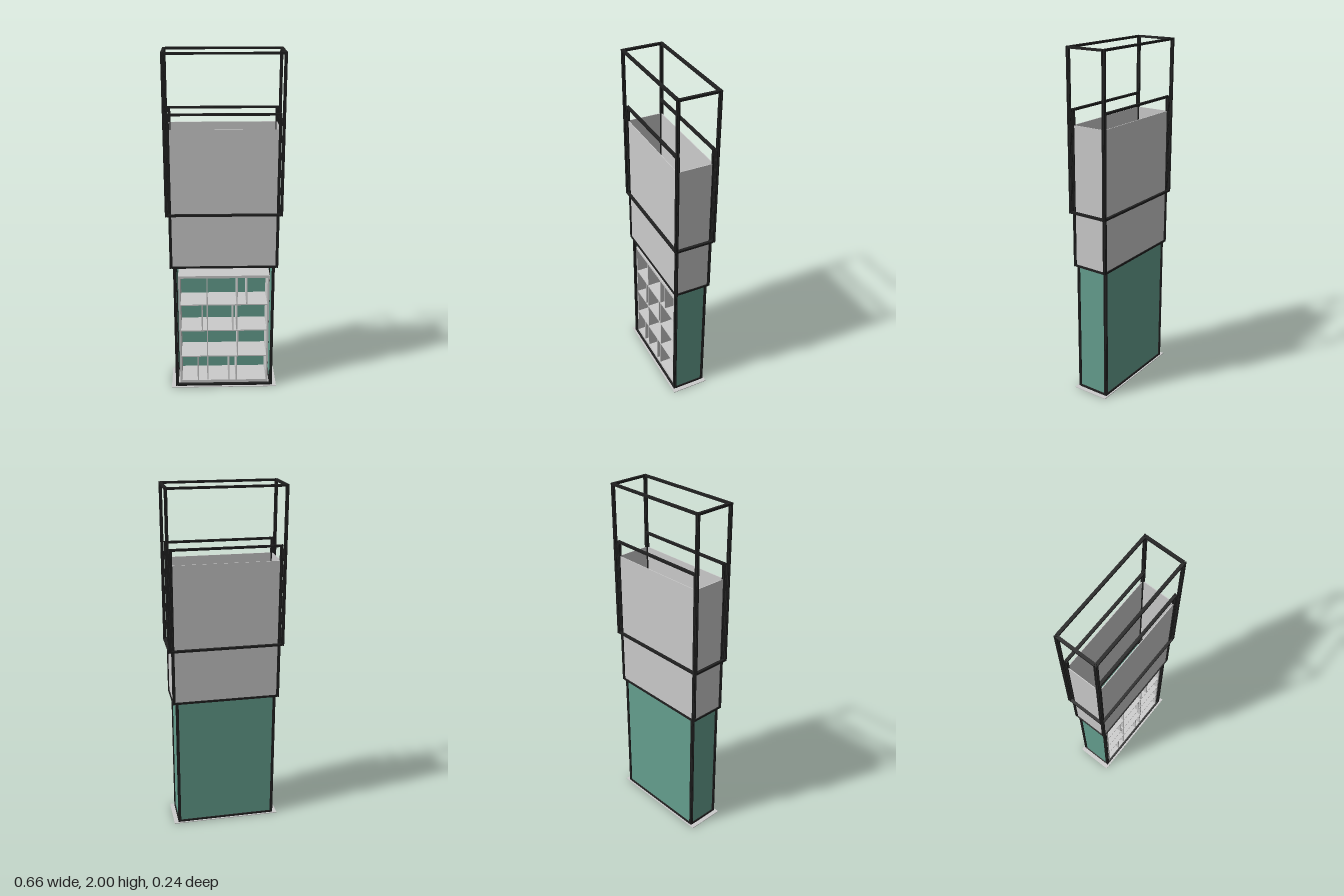
import * as THREE from 'three';

const black = new THREE.MeshStandardMaterial({ color: 0x202020 });
const green = new THREE.MeshStandardMaterial({ color: 0x65a08f });
const grey = new THREE.MeshStandardMaterial({ color: 0xcccccc });

function box(parent, name, material, w, h, d, x, y, z) {
  const mesh = new THREE.Mesh(new THREE.BoxGeometry(w, h, d), material);
  mesh.position.set(x, y, z);
  mesh.name = name;
  parent.add(mesh);
  return mesh;
}

// Slotted square profile, extruded upwards from y = 0
const POST = 0.016;
function postGeometry(height) {
  const h = POST / 2, s = 0.0018, c = 0.003;
  const side = [[-h, -h], [-s, -h], [-s, -c], [s, -c], [s, -h]];
  const points = [];
  for (let i = 0; i < 4; i++) {
    for (const [x, y] of side) {
      points.push(new THREE.Vector2(x, y).rotateAround(new THREE.Vector2(), i * Math.PI / 2));
    }
  }
  const geometry = new THREE.ExtrudeGeometry(new THREE.Shape(points), { depth: height, bevelEnabled: false });
  return geometry.rotateX(-Math.PI / 2);
}

// Four corner posts; hx and hz are the outer half sizes
function addPosts(parent, hx, hz, y0, y1) {
  const geometry = postGeometry(y1 - y0);
  for (const sx of [-1, 1]) for (const sz of [-1, 1]) {
    const post = new THREE.Mesh(geometry, black);
    post.name = 'cornerPost';
    post.position.set(sx * (hx - POST / 2), y0, sz * (hz - POST / 2));
    parent.add(post);
  }
}

// Horizontal rails between the posts, centred at height y
function addRails(parent, hx, hz, y, { sides = true, width = POST, height = 0.012 } = {}) {
  for (const s of [-1, 1]) {
    box(parent, 'longRail', black, 2 * (hx - POST), height, width, 0, y, s * (hz - width / 2));
    if (sides) box(parent, 'sideRail', black, width, height, 2 * (hz - POST), s * (hx - width / 2), y, 0);
  }
}

// Thin panels set between the posts
function addPanels(parent, material, hx, hz, y0, y1, hasFront) {
  const t = 0.004, inset = POST / 2, h = y1 - y0, y = (y0 + y1) / 2;
  for (const s of [-1, 1]) {
    box(parent, 'sidePanel', material, t, h, 2 * (hz - POST), s * (hx - inset), y, 0);
    if (s < 0 || hasFront) {
      box(parent, s < 0 ? 'backPanel' : 'frontPanel', material, 2 * (hx - POST), h, t, 0, y, s * (hz - inset));
    }
  }
}

// Open shelf unit with its compartments
function createShelfUnit() {
  const unit = new THREE.Group();
  unit.name = 'shelfUnit';
  const x = 0.265, y0 = 0.016, y1 = 0.727, depth = 0.165, t = 0.007;
  for (const s of [-1, 1]) box(unit, 'shelfSide', grey, 0.011, y1 - y0, depth, s * (x - 0.0055), (y0 + y1) / 2, 0);
  box(unit, 'shelfTop', grey, 2 * x - 0.022, 0.015, depth, 0, y1 - 0.0075, 0);
  box(unit, 'shelfBottom', grey, 2 * x - 0.022, 0.018, depth, 0, y0 + 0.009, 0);
  const levels = [0.032, 0.199, 0.372, 0.541, 0.714];
  const dividers = [
    [-0.156, -0.098, 0.03, 0.075],
    [-0.098, 0.082],
    [-0.128, -0.098, 0.053, 0.076],
    [-0.098, 0.077, 0.134],
  ];
  dividers.forEach((row, i) => {
    const low = levels[i], high = levels[i + 1];
    if (i > 0) box(unit, 'shelf', grey, 2 * x - 0.022, t, depth, 0, low, 0);
    for (const dx of row) box(unit, 'divider', grey, t, high - low, depth - 0.002, dx, (low + high) / 2, 0);
  });
  unit.position.z = 0.008;
  return unit;
}

export function createModel() {
  const model = new THREE.Group();
  model.name = 'telescopicShelfTower';

  // Floor plate
  box(model, 'basePlate', grey, 0.634, 0.004, 0.22, 0, 0.002, 0.009);

  // The tower leans back very slightly
  const tower = new THREE.Group();
  tower.name = 'tower';
  tower.position.set(0, 0.004, 0.0078);
  tower.rotation.x = -0.005;
  model.add(tower);
  const section = (name) => {
    const group = new THREE.Group();
    group.name = name;
    tower.add(group);
    return group;
  };

  // Lower cabinet: green panels, open front, shelves inside
  const lower = section('lowerCabinet');
  addPosts(lower, 0.292, 0.1, 0, 0.885);
  addRails(lower, 0.292, 0.1, 0.006);
  addRails(lower, 0.292, 0.1, 0.878, { width: 0.021 });
  addPanels(lower, green, 0.292, 0.1, 0.01, 0.805, false);
  box(lower, 'lid', green, 0.55, 0.004, 0.17, 0, 0.805, 0);
  lower.add(createShelfUnit());

  // Middle sleeve: grey panels all round, open at the top
  const middle = section('middleSleeve');
  addPosts(middle, 0.31, 0.109, 0.783, 1.675);
  addRails(middle, 0.31, 0.109, 0.789);
  addRails(middle, 0.31, 0.109, 1.669, { sides: false });
  addPanels(middle, grey, 0.31, 0.109, 0.795, 1.587, true);

  // Upper sleeve: bare frame
  const upper = section('upperFrame');
  addPosts(upper, 0.328, 0.12, 1.1, 1.995);
  addRails(upper, 0.328, 0.12, 1.106);
  addRails(upper, 0.328, 0.12, 1.989);

  return model;
}
